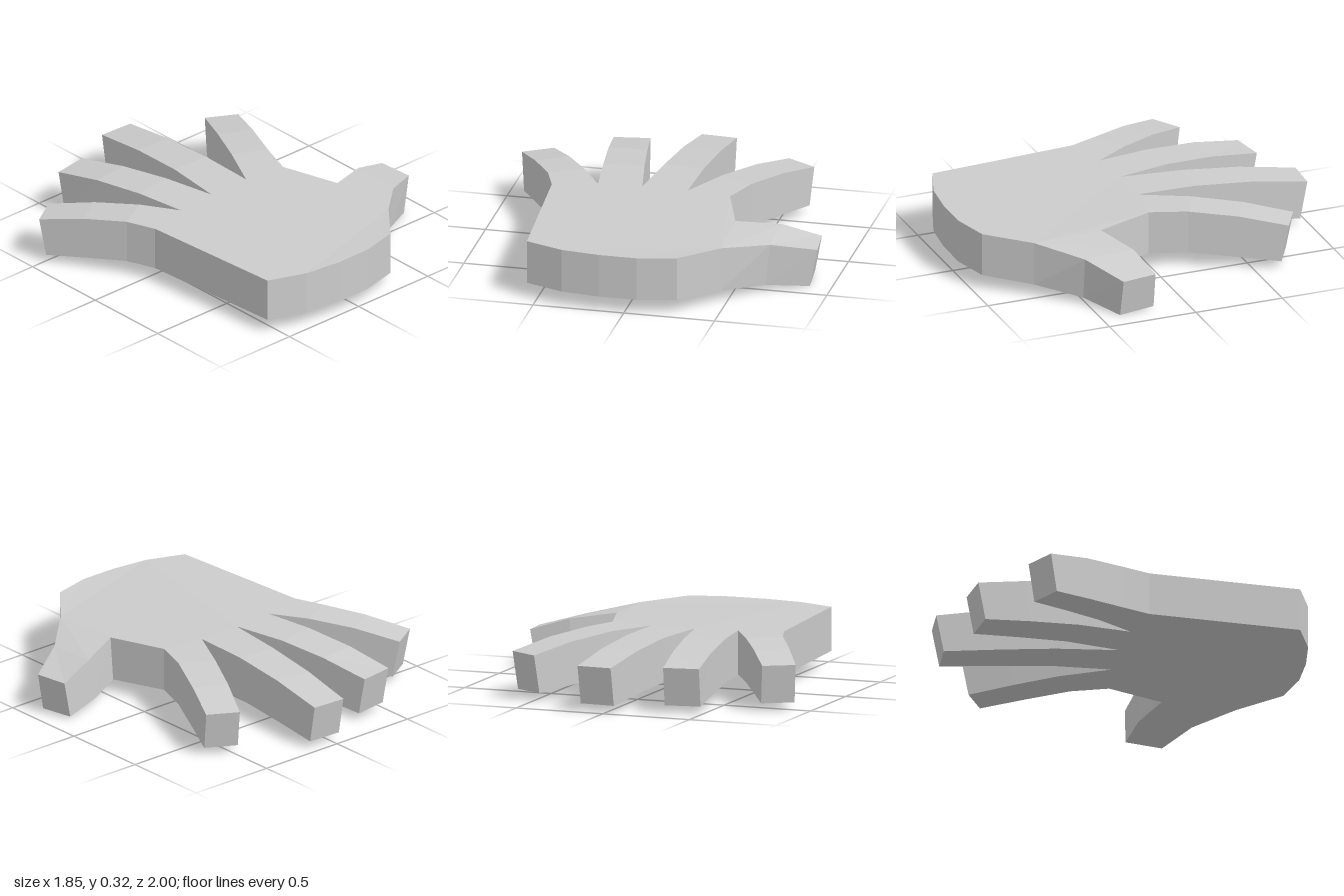
import * as THREE from 'three';

const material = new THREE.MeshStandardMaterial({ color: 0xcccccc, flatShading: true });

// Outline point: upper corner (x, z) at height top, lower corner moved by (dx, dz) at height bottom
const point = (x, z, top = 0.32, bottom = 0.08, dx = 0, dz = 0) => ({
  x, z,
  upper: [x, top, z],
  lower: [x + dx, bottom, z + dz],
});

// Collects triangles for a slab part; outlines run counter-clockwise seen from above
class Slab {
  positions = [];
  tri(a, b, c) { this.positions.push(...a, ...b, ...c); }
  wall(a, b) {
    this.tri(a.lower, b.lower, b.upper);
    this.tri(a.lower, b.upper, a.upper);
  }
  caps(outline) {
    const flat = outline.map(p => new THREE.Vector2(p.x, -p.z));
    for (const [i, j, k] of THREE.ShapeUtils.triangulateShape(flat, [])) {
      this.tri(outline[i].upper, outline[j].upper, outline[k].upper);
      this.tri(outline[k].lower, outline[j].lower, outline[i].lower);
    }
  }
  mesh(name) {
    const geometry = new THREE.BufferGeometry();
    geometry.setAttribute('position', new THREE.Float32BufferAttribute(this.positions, 3));
    geometry.computeVertexNormals();
    const mesh = new THREE.Mesh(geometry, material);
    mesh.name = name;
    return mesh;
  }
}

// A digit from matching right and left edges, base to tip; open where it meets the palm
function digit(name, right, left) {
  const slab = new Slab();
  const last = right.length - 1;
  for (let i = 0; i < last; i++) {
    slab.caps([right[i], right[i + 1], left[i + 1], left[i]]);
    slab.wall(right[i], right[i + 1]);
    slab.wall(left[i + 1], left[i]);
  }
  slab.wall(right[last], left[last]);
  return slab.mesh(name);
}

// Fingers droop towards the tip, and the tip face leans back
const TOP = [0.32, 0.32, 0.297, 0.25];
const BOTTOM = [0.08, 0.08, 0.062, 0.04];
const LEAN = [0, 0, 0.02, 0.04];
function finger(name, right, left) {
  const axis = new THREE.Vector2(
    right[3][0] + left[3][0] - right[0][0] - left[0][0],
    right[3][1] + left[3][1] - right[0][1] - left[0][1]).normalize();
  const edge = pts => pts.map(([x, z], i) =>
    point(x, z, TOP[i], BOTTOM[i], -axis.x * LEAN[i], -axis.y * LEAN[i]));
  return digit(name, edge(right), edge(left));
}

export function createModel() {
  const hand = new THREE.Group();
  hand.name = 'hand';

  // Palm: heel, thumb base, thumb web, then the valleys between the fingers
  const heel = [[-0.62, 0.06], [-0.56, 0.89], [-0.35, 0.97], [-0.14, 0.995], [0.07, 0.995], [0.28, 0.945]]
    .map(p => point(...p));
  const thumbBase = point(0.47, 0.72, 0.308, 0.065);
  const web = point(0.455, 0.328, 0.312, 0.07, -0.005, -0.015);
  const valleys = [[0.35, 0.01], [0.11, -0.02], [-0.14, -0.02], [-0.38, 0]];
  const knuckles = valleys.map(p => point(...p));
  const palm = new Slab();
  const rim = [...heel, thumbBase];
  palm.caps([...rim, web, ...knuckles]);
  for (let i = 0; i < rim.length - 1; i++) palm.wall(rim[i], rim[i + 1]);
  palm.wall(web, knuckles[0]);
  hand.add(palm.mesh('palm'));

  // Thumb, bending down and outwards
  hand.add(digit('thumb',
    [thumbBase, point(0.69, 0.515, 0.268, 0.035, -0.025), point(0.92, 0.385, 0.21, 0, -0.04, 0.005)],
    [web, point(0.69, 0.235, 0.28, 0.045, -0.03, -0.01), point(0.9, 0.192, 0.215, 0.012, -0.038, -0.003)]));

  // Four fingers
  hand.add(
    finger('indexFinger',
      [valleys[0], [0.42, -0.19], [0.535, -0.435], [0.65, -0.68]],
      [valleys[1], [0.24, -0.28], [0.365, -0.53], [0.49, -0.77]]),
    finger('middleFinger',
      [valleys[1], [0.12, -0.35], [0.135, -0.67], [0.15, -0.99]],
      [valleys[2], [-0.1, -0.36], [-0.073, -0.68], [-0.045, -1]]),
    finger('ringFinger',
      [valleys[2], [-0.2, -0.32], [-0.25, -0.6], [-0.3, -0.88]],
      [valleys[3], [-0.42, -0.29], [-0.46, -0.58], [-0.495, -0.85]]),
    finger('littleFinger',
      [valleys[3], [-0.5, -0.195], [-0.635, -0.41], [-0.77, -0.625]],
      [[-0.62, 0.06], [-0.68, -0.1], [-0.8, -0.31], [-0.925, -0.53]]));
  return hand;
}
